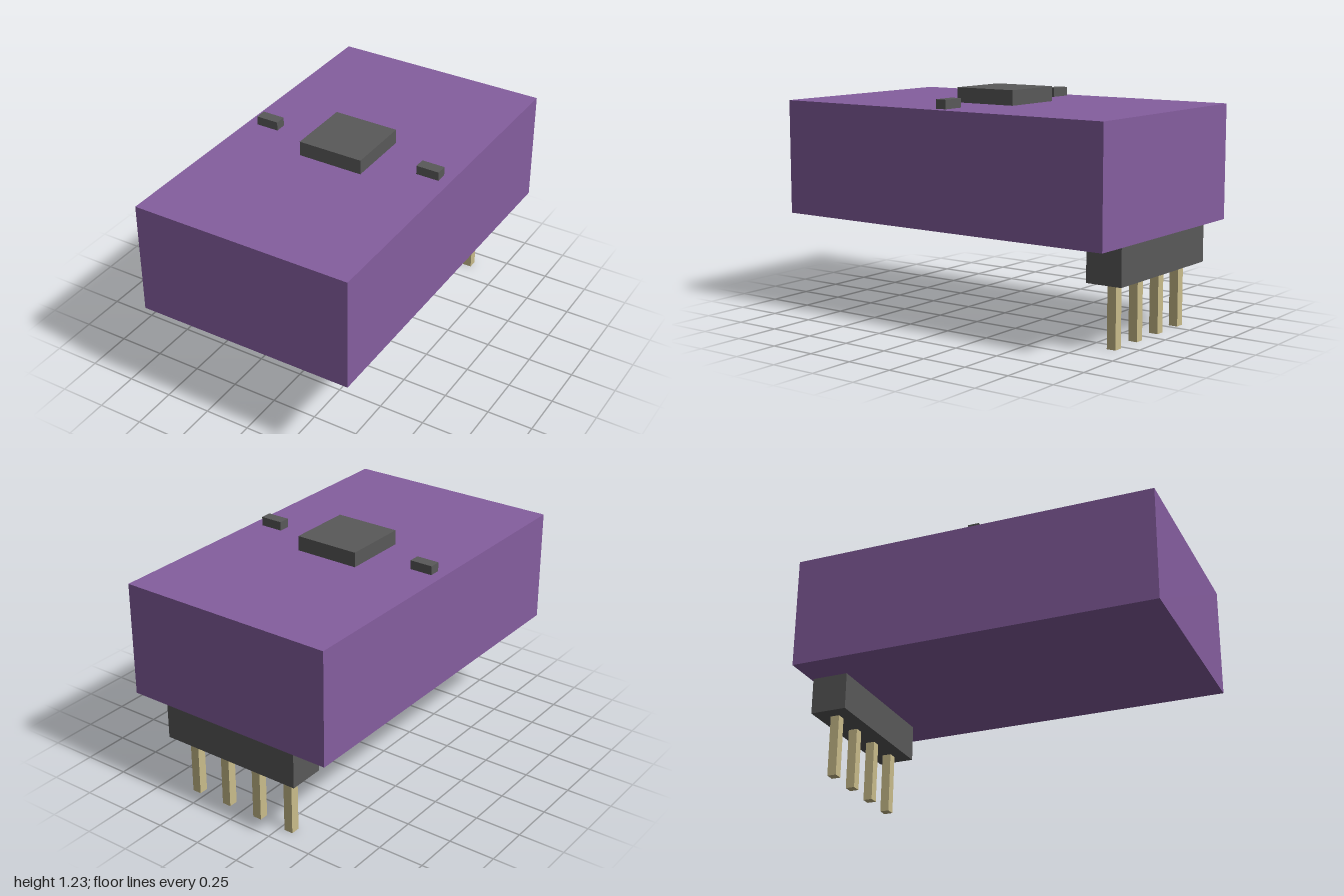
import * as THREE from 'three';

const purple = new THREE.MeshStandardMaterial({ name: 'purple', color: 0x855e9f });
const darkGrey = new THREE.MeshStandardMaterial({ name: 'darkGrey', color: 0x595959 });
const paleGold = new THREE.MeshStandardMaterial({ name: 'paleGold', color: 0xc9bc8b });

// Box given by its size, the height of its underside, and its centre in x and z
function box(name, material, [w, h, d], bottom, x = 0, z = 0) {
  const mesh = new THREE.Mesh(new THREE.BoxGeometry(w, h, d), material);
  mesh.name = name;
  mesh.position.set(x, bottom + h / 2, z);
  return mesh;
}

export function createModel() {
  const model = new THREE.Group();
  model.name = 'sensorModule';

  const boardBottom = 0.535, boardTop = 1.15, headerBottom = 0.335, headerZ = -0.885;

  // Thick circuit board
  model.add(box('board', purple, [1.204, boardTop - boardBottom, 2], boardBottom));

  // Chip and the small components beside it
  model.add(box('chip', darkGrey, [0.36, 0.08, 0.36], boardTop));
  for (const [side, name] of [[1, 'leftComponent'], [-1, 'rightComponent']]) {
    model.add(box(name, darkGrey, [0.126, 0.048, 0.062], boardTop, side * 0.481));
  }

  // Pin header under the back edge
  const header = new THREE.Group();
  header.name = 'pinHeader';
  header.add(box('headerBlock', darkGrey, [0.81, boardBottom - headerBottom, 0.2], headerBottom, 0, headerZ));
  for (let i = 0; i < 4; i++) {
    header.add(box(`pin${i + 1}`, paleGold, [0.05, headerBottom, 0.05], 0, (i - 1.5) * 0.203, headerZ));
  }
  model.add(header);

  return model;
}
